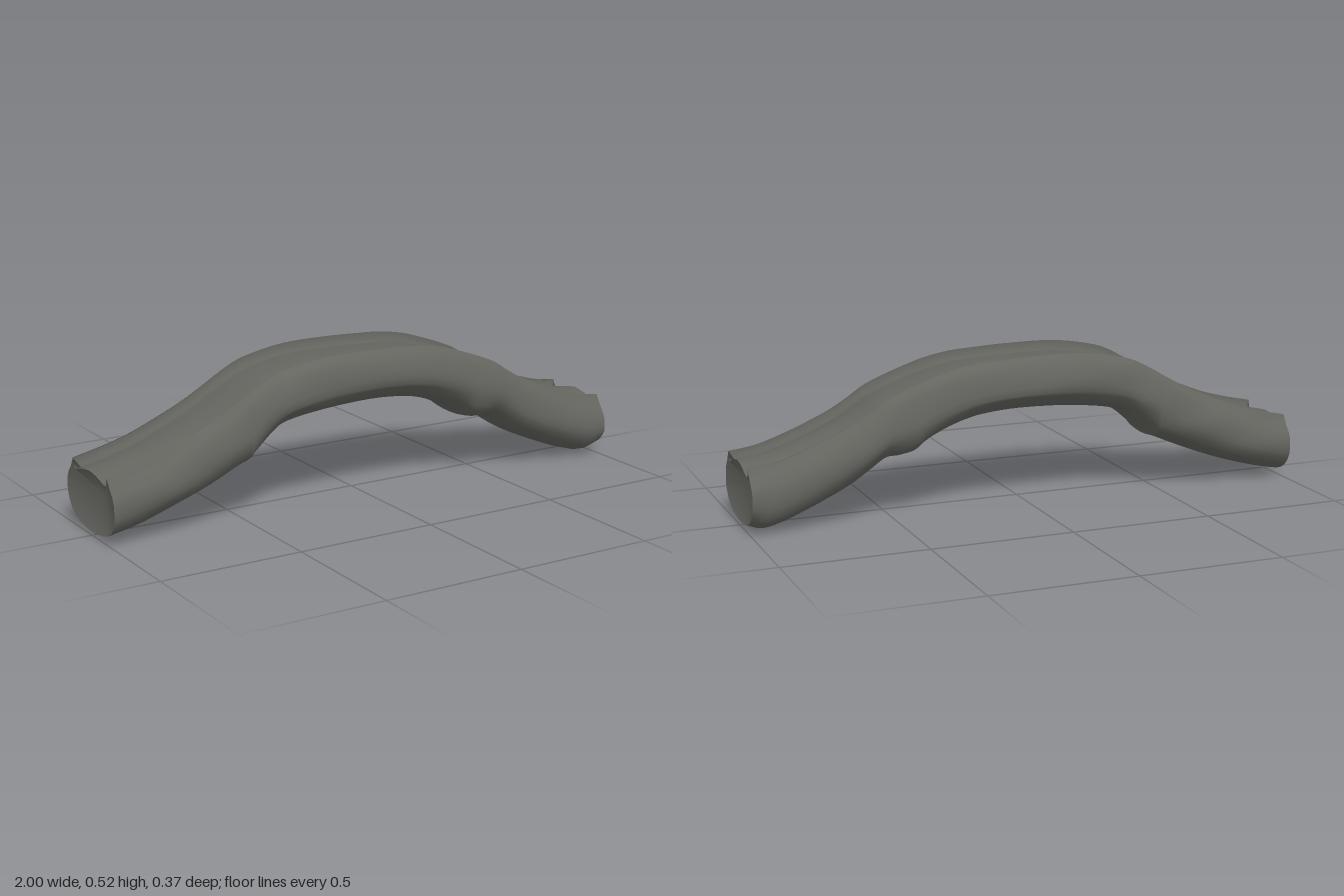
import * as THREE from 'three';

// Stations along the log: x, rim height, underside height
const STATIONS = [
  [-1, 0.235, 0.015], [-0.9, 0.257, 0.036], [-0.8, 0.285, 0.065], [-0.7, 0.325, 0.1],
  [-0.6, 0.37, 0.14], [-0.5, 0.425, 0.183], [-0.485, 0.434, 0.187], [-0.47, 0.443, 0.205],
  [-0.4, 0.48, 0.265], [-0.35, 0.497, 0.295], [-0.2, 0.523, 0.321], [0, 0.525, 0.331],
  [0.1, 0.521, 0.328], [0.2, 0.515, 0.315], [0.3, 0.497, 0.285], [0.38, 0.472, 0.245],
  [0.42, 0.458, 0.215], [0.46, 0.443, 0.205], [0.52, 0.417, 0.2], [0.58, 0.378, 0.162],
  [0.65, 0.338, 0.118], [0.8, 0.275, 0.05], [0.9, 0.243, 0.013], [0.95, 0.234, 0.003], [1, 0.228, 0.018],
];
const rows = new THREE.CatmullRomCurve3(STATIONS.map((s) => new THREE.Vector3(...s))).getPoints(120);

// Mirror a half section (running from +z towards the middle) to the -z side
const mirror = (half) => [...half, ...half.slice(0, -1).reverse().map(([z, y]) => [-z, y])];

// Walking surface between the two rims; crowned more towards the ends
function deckSection({ x, y: top }) {
  const end = THREE.MathUtils.smoothstep(Math.abs(x), 0.35, 1);
  const crown = top - 0.025 + end * (x > 0 ? 0.024 : 0.014);
  const side = top - 0.034;
  return mirror([
    [0.13, top], [0.128, top - 0.022], [0.116, side],
    [0.09, side + (crown - side) * 0.3], [0.05, side + (crown - side) * 0.75], [0, crown],
  ]);
}

// Rounded flanks and belly, with a slight ripple in the bark
function hullSection({ x, y: top, z: low }) {
  const end = THREE.MathUtils.smoothstep(Math.abs(x), 0.35, 1);
  const mid = (top + low) / 2;
  const section = mirror([
    [0.13, top], [0.15, top - 0.014 - 0.02 * end], [0.169, top - 0.032 - 0.025 * end],
    [0.18, mid + 0.028], [0.183, mid], [0.181, mid - 0.025], [0.171, low + 0.062],
    [0.152, low + 0.039], [0.125, low + 0.021], [0.085, low + 0.008], [0.04, low + 0.002], [0, low],
  ]);
  return section.map(([z, y], i) => {
    const ripple = i === 0 || i === section.length - 1 ? 0 : 0.002 * Math.sin(x * 9 + y * 40 + z * 11);
    return [z + Math.sign(z) * ripple - (z < 0 ? 0.004 * end : 0), y];
  });
}

// Skin a strip through the sections of all stations
function loft(sectionAt, flip) {
  const positions = [], index = [];
  let n = 0;
  for (const row of rows) {
    const section = sectionAt(row);
    n = section.length;
    for (const [z, y] of section) positions.push(row.x, y, z);
  }
  for (let r = 0; r < rows.length - 1; r++) {
    for (let i = 0; i < n - 1; i++) {
      const a = r * n + i, b = a + 1, c = a + n, d = c + 1;
      if (flip) index.push(a, b, c, b, d, c);
      else index.push(a, c, b, b, c, d);
    }
  }
  return finish(positions, index);
}

// Slightly hollow fan closing one end
function cap(row, side) {
  const outline = [...hullSection(row), ...deckSection(row).reverse().slice(1, -1)];
  const positions = [row.x - side * 0.05, 0.135, 0], index = [];
  for (const [z, y] of outline) positions.push(row.x, y, z);
  for (let i = 0; i < outline.length; i++) {
    const a = i + 1, b = ((i + 1) % outline.length) + 1;
    if (side > 0) index.push(0, b, a);
    else index.push(0, a, b);
  }
  return finish(positions, index);
}

function finish(positions, index) {
  const geometry = new THREE.BufferGeometry();
  geometry.setAttribute('position', new THREE.Float32BufferAttribute(positions, 3));
  geometry.setIndex(index);
  geometry.computeVertexNormals();
  return geometry;
}

export function createModel() {
  const bark = new THREE.MeshStandardMaterial({ color: 0x656560, side: THREE.DoubleSide });
  bark.name = 'grey bark';
  const group = new THREE.Group();
  group.name = 'archedLogBridge';
  const add = (name, geometry) => {
    const mesh = new THREE.Mesh(geometry, bark);
    mesh.name = name;
    group.add(mesh);
  };
  add('deck', loft(deckSection, false));
  add('hull', loft(hullSection, true));
  add('leftEnd', cap(rows[rows.length - 1], 1));
  add('rightEnd', cap(rows[0], -1));
  return group;
}

// Winding: the deck runs from +z to -z and must face up (+y); the hull
// runs the same way underneath and must face out and down.
